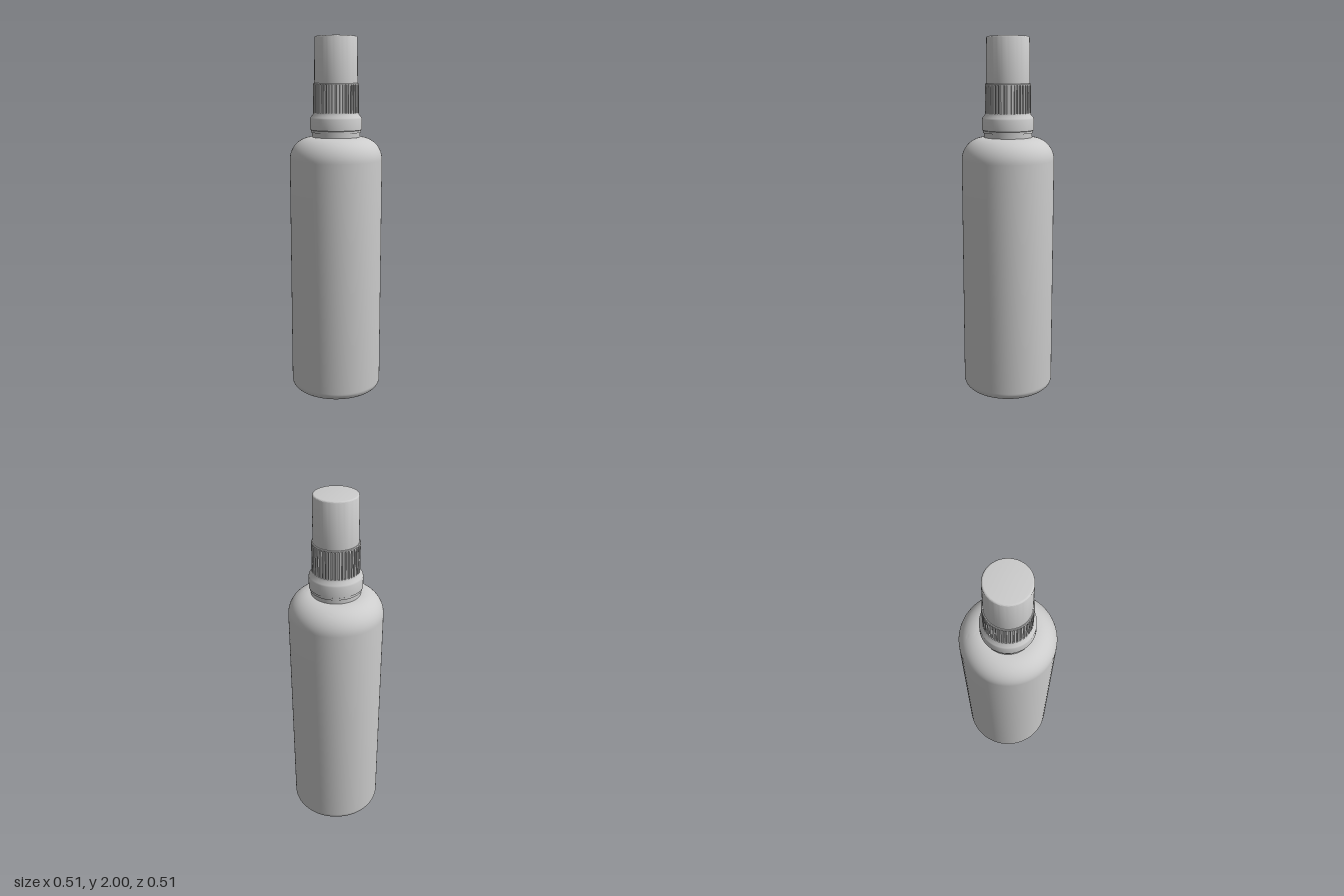
import * as THREE from 'three';
import { toCreasedNormals } from 'three/addons/utils/BufferGeometryUtils.js';

const material = new THREE.MeshStandardMaterial({ color: 0xcccccc });

function addMesh(group, name, geometry, crease = 0.6) {
  const mesh = new THREE.Mesh(toCreasedNormals(geometry, crease), material);
  mesh.name = name;
  group.add(mesh);
  return mesh;
}

// Turned part from a profile running bottom to top
function addTurned(group, name, points, segments = 80) {
  const profile = points.map(p => (p.isVector2 ? p : new THREE.Vector2(p[0], p[1])));
  return addMesh(group, name, new THREE.LatheGeometry(profile, segments));
}

// Points of a rounded corner, angles in degrees
function corner(cx, cy, r, from, to, steps) {
  return Array.from({ length: steps + 1 }, (_, i) => {
    const a = THREE.MathUtils.degToRad(from + (to - from) * i / steps);
    return new THREE.Vector2(cx + r * Math.cos(a), cy + r * Math.sin(a));
  });
}

export function createModel() {
  const group = new THREE.Group();
  group.name = 'sprayBottle';

  // Bottle: dimpled hollow base, straight wall, round shoulder, short neck
  addTurned(group, 'bottle', [
    [0, 0.022], [0.04, 0.022], [0.052, 0.03], [0.07, 0.03], [0.12, 0.024], [0.17, 0.01],
    ...corner(0.212, 0.045, 0.045, -100, 0, 10),
    ...corner(0.132, 1.335, 0.125, 0, 90, 16),
    [0.132, 1.5], [0, 1.5],
  ]);

  // Collar with a stepped lower edge and a sloping shoulder
  addTurned(group, 'collar', [
    [0, 1.485], [0.138, 1.485], [0.138, 1.497], [0.143, 1.5], [0.143, 1.56],
    [0.14, 1.568], [0.128, 1.582], [0.126, 1.592], [0, 1.592],
  ]);

  // Ribbed grip: a gear-shaped outline pulled upwards
  const ribs = 44;
  const inner = 0.119, outer = 0.126;
  const outline = [];
  for (let i = 0; i < ribs; i++) {
    for (const [t, r] of [[0, inner], [0.28, inner], [0.36, outer], [0.92, outer]]) {
      const a = (i + t) / ribs * Math.PI * 2;
      outline.push(new THREE.Vector2(r * Math.cos(a), r * Math.sin(a)));
    }
  }
  const gripGeometry = new THREE.ExtrudeGeometry(new THREE.Shape(outline), { depth: 0.158, bevelEnabled: false });
  gripGeometry.rotateX(-Math.PI / 2);
  gripGeometry.translate(0, 1.588, 0);
  addMesh(group, 'ribbedGrip', gripGeometry, 0.4);

  // Thin rim closing the ribs
  addTurned(group, 'gripRim', [
    [0.115, 1.742], [0.126, 1.742], [0.126, 1.747], [0.123, 1.751], [0.115, 1.751],
  ]);

  // Smooth cap with a softened top edge
  addTurned(group, 'cap', [
    [0, 1.74], [0.119, 1.74], ...corner(0.107, 1.99, 0.01, 0, 90, 5), [0, 2],
  ]);

  return group;
}
